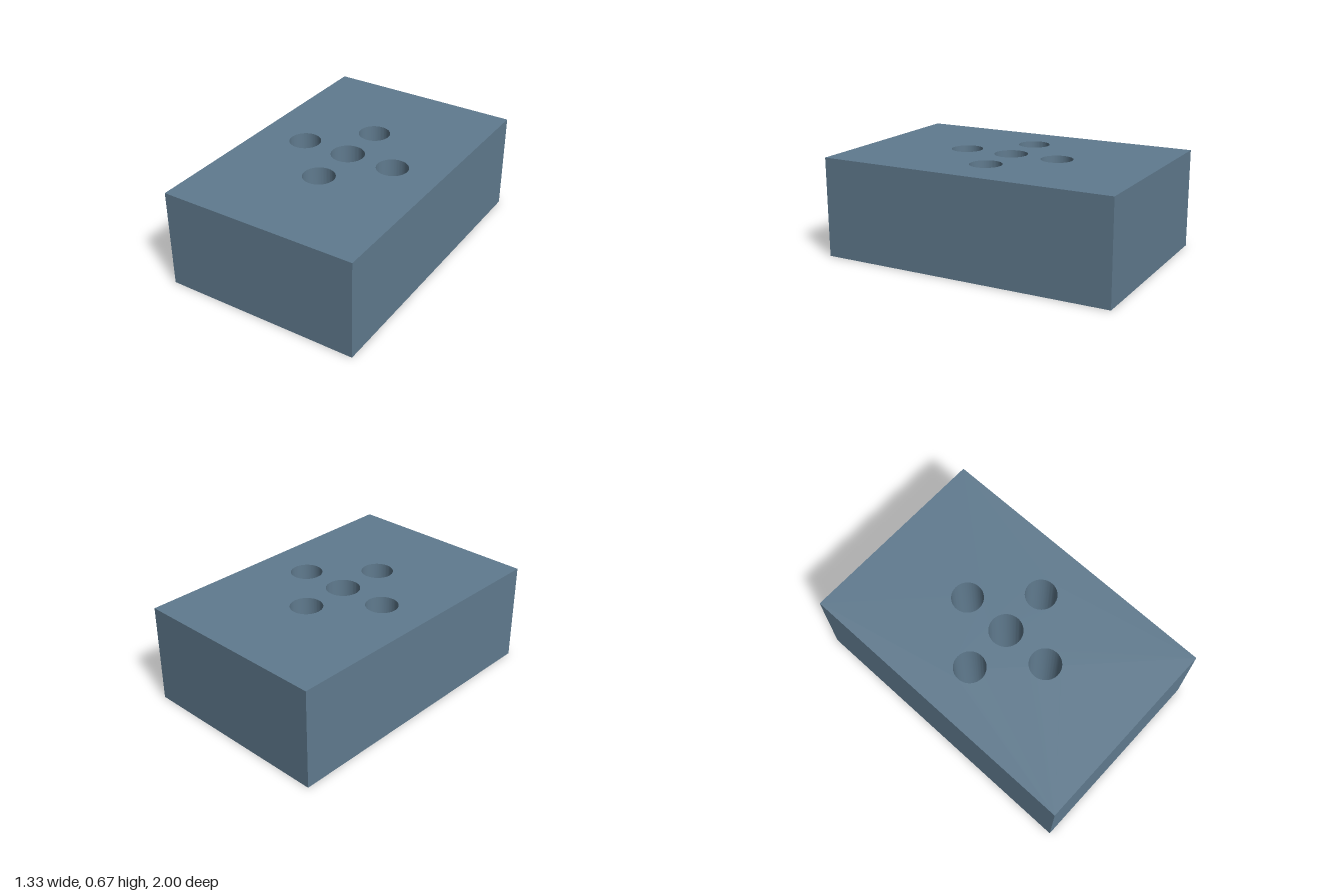
import * as THREE from 'three';
import { toCreasedNormals } from 'three/addons/utils/BufferGeometryUtils.js';

const WIDTH = 1.333, HEIGHT = 0.667, DEPTH = 2;
const SPACING = 0.333; // distance of the outer holes from the centre

export function createModel() {
  const group = new THREE.Group();
  group.name = 'drilledBlock';

  // Rectangular outline of the block
  const x = WIDTH / 2, z = DEPTH / 2;
  const outline = new THREE.Shape([
    new THREE.Vector2(-x, -z), new THREE.Vector2(x, -z),
    new THREE.Vector2(x, z), new THREE.Vector2(-x, z),
  ]);

  // Through holes: a slightly larger centre bore and four around it
  const drill = (cx, cz, radius) =>
    outline.holes.push(new THREE.Path().absarc(cx, cz, radius, 0, Math.PI * 2, true));
  drill(0, 0, 0.111);
  for (const side of [-1, 1]) {
    drill(side * SPACING, 0, 0.105);
    drill(0, side * SPACING, 0.105);
  }

  // Extrude upward, keeping the bores smooth and the block edges sharp
  const extruded = new THREE.ExtrudeGeometry(outline, {
    depth: HEIGHT, bevelEnabled: false, curveSegments: 48,
  });
  extruded.rotateX(-Math.PI / 2);
  const block = new THREE.Mesh(
    toCreasedNormals(extruded, Math.PI / 6),
    new THREE.MeshStandardMaterial({ color: 0x607b8f }),
  );
  block.name = 'block';
  group.add(block);
  return group;
}
